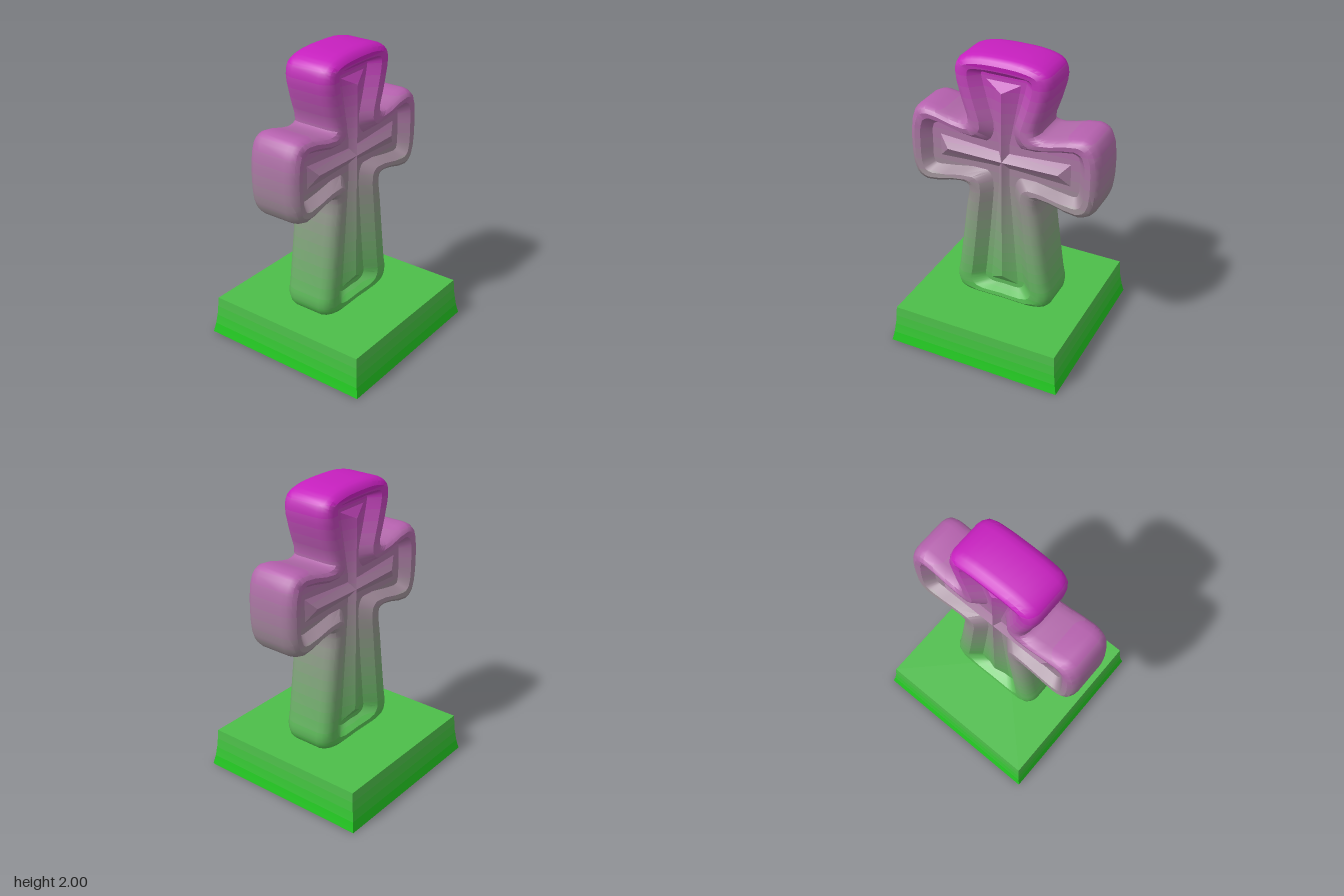
import * as THREE from 'three';
import { toCreasedNormals } from 'three/addons/utils/BufferGeometryUtils.js';

const GREEN = new THREE.Color(0x14c814), MAGENTA = new THREE.Color(0xc80cc0);

// Right halves of the cross outline and of the sunken panel, from top to bottom
const OUTER = [[0, 2], [0.2, 1.985], [0.3, 1.94], [0.325, 1.86], [0.29, 1.7], [0.25, 1.545], [0.32, 1.537],
  [0.54, 1.585], [0.62, 1.54], [0.656, 1.31], [0.62, 1.09], [0.54, 1.04], [0.32, 1.09], [0.252, 1.08],
  [0.27, 0.9], [0.33, 0.45], [0.347, 0.34], [0.315, 0.265], [0, 0.25]];
const PANEL = [[0, 1.87], [0.1, 1.87], [0.15, 1.87], [0.15, 1.84], [0.11, 1.68], [0.07, 1.5], [0.12, 1.41],
  [0.46, 1.46], [0.5, 1.44], [0.51, 1.31], [0.5, 1.17], [0.46, 1.16], [0.12, 1.2], [0.08, 1.14],
  [0.09, 0.9], [0.135, 0.45], [0.14, 0.37], [0.1, 0.34], [0, 0.34]];
// Rim section: share of the way from outline to panel, depth
const RIM = [[0, 0.1], [0.05, 0.135], [0.16, 0.165], [0.35, 0.18], [0.62, 0.175], [1, 0.11]];

function smoothLoop(half) {
  const all = [...half, ...half.slice(1, -1).reverse().map(([x, y]) => [-x, y])];
  const curve = new THREE.CatmullRomCurve3(all.map(([x, y]) => new THREE.Vector3(x, y, 0)), true, 'centripetal');
  const n = all.length * 3;
  return Array.from({ length: n }, (_, i) => curve.getPoint(i / n));
}

function geometryOf(triangles) {
  const geometry = new THREE.BufferGeometry().setFromPoints(triangles.flat());
  return toCreasedNormals(geometry, 0.6);
}

// Orders a triangle so that it faces along z by the given sign
function facing([a, b, c], sign) {
  const z = (b.x - a.x) * (c.y - a.y) - (b.y - a.y) * (c.x - a.x);
  return z * sign > 0 ? [a, b, c] : [a, c, b];
}

// Rounded rim and sunken floors, lofted from back to front
function crossBody() {
  const outer = smoothLoop(OUTER), panel = smoothLoop(PANEL), n = outer.length;
  const layer = (t, z) => outer.map((p, i) => p.clone().lerp(panel[i], t).setZ(z));
  const layers = [...[...RIM].reverse().map(([t, z]) => layer(t, -z)), ...RIM.map(([t, z]) => layer(t, z))];
  const triangles = [];
  for (let k = 0; k < layers.length - 1; k++) {
    for (let i = 0; i < n; i++) {
      const j = (i + 1) % n, [a, b, c, d] = [layers[k][i], layers[k][j], layers[k + 1][i], layers[k + 1][j]];
      triangles.push([a, c, b], [b, c, d]);
    }
  }
  const floor = THREE.ShapeUtils.triangulateShape(panel.map(p => new THREE.Vector2(p.x, p.y)), []);
  for (const [loop, sign] of [[layers[0], -1], [layers.at(-1), 1]]) {
    for (const t of floor) triangles.push(facing(t.map(i => loop[i]), sign));
  }
  return geometryOf(triangles);
}

// Four flared, hipped ridges meeting in a star
function starRidge(sign) {
  const v = (x, y, z) => new THREE.Vector3(x, y, z * sign), low = 0.105, high = 0.15;
  const centre = v(0, 1.3, high), triangles = [];
  const notch = (sx, sy) => v(0.04 * sx, 1.3 + 0.06 * sy, low);
  const arm = (a, b, hip, na, nb) => {
    for (const t of [[centre, na, hip], [na, a, hip], [a, b, hip], [b, nb, hip], [nb, centre, hip]]) {
      triangles.push(facing(t, sign));
    }
  };
  for (const s of [-1, 1]) {
    arm(v(0.46 * s, 1.39, low), v(0.46 * s, 1.22, low), v(0.38 * s, 1.305, high), notch(s, 1), notch(s, -1));
  }
  arm(v(-0.13, 1.84, low), v(0.13, 1.84, low), v(0, 1.77, high), notch(-1, 1), notch(1, 1));
  arm(v(-0.11, 0.36, low), v(0.11, 0.36, low), v(0, 0.43, high), notch(-1, -1), notch(1, -1));
  return geometryOf(triangles);
}

// Keeps the part of a polygon above (side 1) or below (side -1) a height
function clip(polygon, height, side) {
  const out = [];
  polygon.forEach((a, i) => {
    const b = polygon[(i + 1) % polygon.length];
    const da = (a[1] - height) * side, db = (b[1] - height) * side;
    if (da >= 0) out.push(a);
    if (da * db < 0) out.push(a.map((value, k) => value + (b[k] - value) * da / (da - db)));
  });
  return out;
}

// Cuts a geometry into level bands that shade from green to magenta
function shadedPart(name, geometry, from, to, count) {
  const group = new THREE.Group();
  group.name = name;
  const { position, normal } = geometry.attributes;
  const corner = i => [position.getX(i), position.getY(i), position.getZ(i),
    normal.getX(i), normal.getY(i), normal.getZ(i)];
  const step = (to - from) / count;
  for (let b = 0; b < count; b++) {
    const bottom = from + b * step, points = [], normals = [];
    for (let i = 0; i < position.count; i += 3) {
      let polygon = [corner(i), corner(i + 1), corner(i + 2)];
      if (b > 0) polygon = clip(polygon, bottom, 1);
      if (b < count - 1) polygon = clip(polygon, bottom + step, -1);
      for (let k = 1; k < polygon.length - 1; k++) {
        for (const p of [polygon[0], polygon[k], polygon[k + 1]]) {
          points.push(...p.slice(0, 3));
          normals.push(...p.slice(3));
        }
      }
    }
    if (!points.length) continue;
    const band = new THREE.BufferGeometry();
    band.setAttribute('position', new THREE.Float32BufferAttribute(points, 3));
    band.setAttribute('normal', new THREE.Float32BufferAttribute(normals, 3));
    const color = GREEN.clone().lerp(MAGENTA, (bottom + step / 2) / 2);
    const mesh = new THREE.Mesh(band, new THREE.MeshStandardMaterial({ color }));
    mesh.name = `${name}Band${b + 1}`;
    group.add(mesh);
  }
  return group;
}

// Square plinth with slightly flared sides
function plinth() {
  const profile = [[0, 0], [0.605, 0], [0.592, 0.06], [0.58, 0.15], [0.572, 0.265], [0, 0.265]];
  const geometry = new THREE.LatheGeometry(profile.map(([r, y]) => new THREE.Vector2(r * Math.SQRT2, y)), 4);
  geometry.rotateY(Math.PI / 4);
  return toCreasedNormals(geometry, 0.6);
}

export function createModel() {
  const model = new THREE.Group();
  model.name = 'stoneCross';
  model.add(
    shadedPart('plinth', plinth(), 0, 0.265, 4),
    shadedPart('crossBody', crossBody(), 0.25, 2, 24),
    shadedPart('frontRidge', starRidge(1), 0.25, 2, 24),
    shadedPart('backRidge', starRidge(-1), 0.25, 2, 24),
  );
  return model;
}
